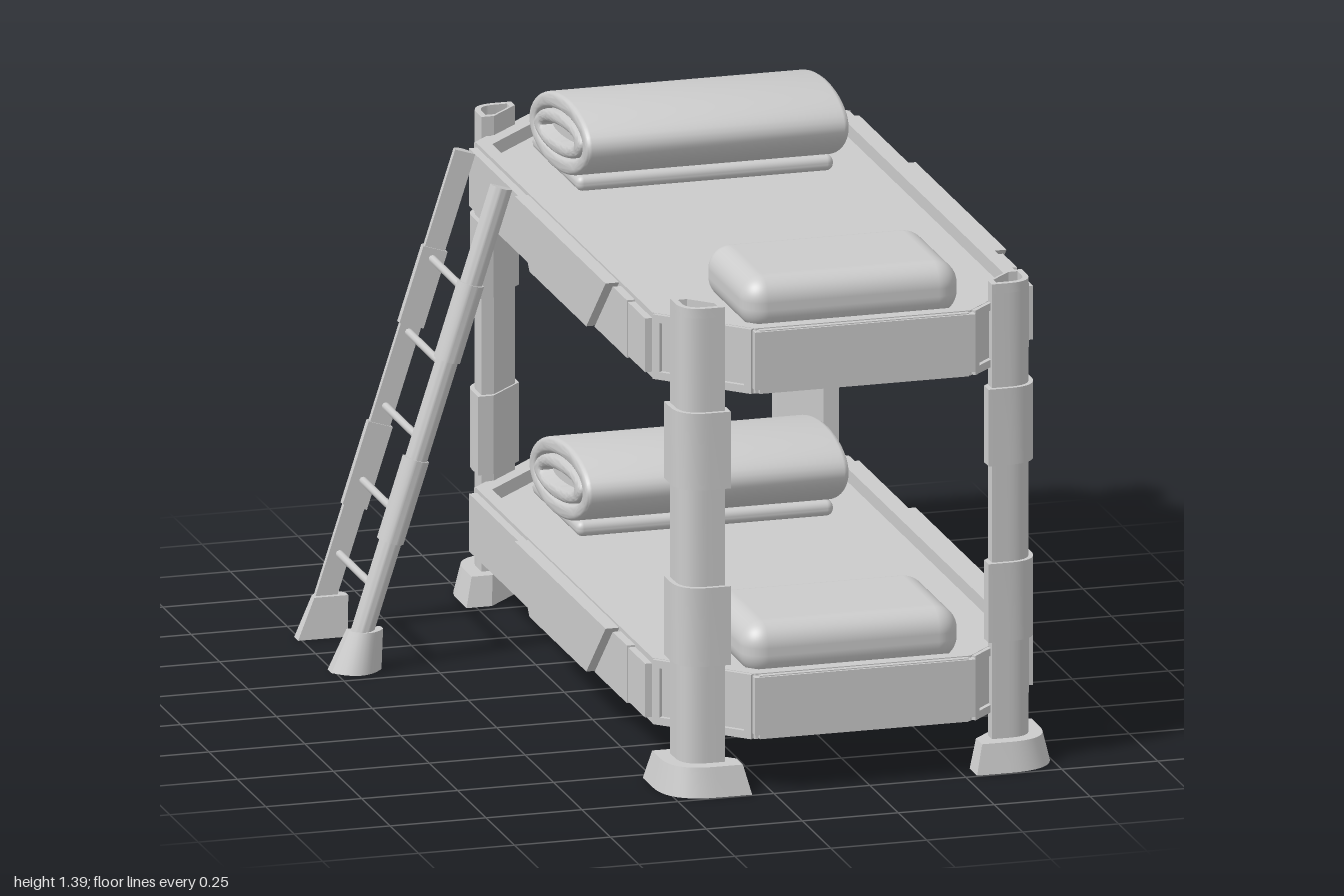
import * as THREE from 'three';
import { toCreasedNormals } from 'three/addons/utils/BufferGeometryUtils.js';
import { RoundedBoxGeometry } from 'three/addons/geometries/RoundedBoxGeometry.js';

const material = new THREE.MeshStandardMaterial({ color: 0xcccccc });

function add(parent, name, geometry, x = 0, y = 0, z = 0) {
  const mesh = new THREE.Mesh(geometry, material);
  mesh.name = name;
  mesh.position.set(x, y, z);
  parent.add(mesh);
  return mesh;
}

// Extrudes a plan shape (x, -z) upwards from y0 to y1
function slab(shape, y0, y1) {
  const g = new THREE.ExtrudeGeometry(shape, { depth: y1 - y0, bevelEnabled: false, curveSegments: 10 });
  g.rotateX(-Math.PI / 2).translate(0, y0, 0);
  return toCreasedNormals(g, 0.6);
}

// Extrudes a side shape (z, y) along x, centred on x = 0
function across(shape, width, bevel = 0) {
  const g = new THREE.ExtrudeGeometry(shape, {
    depth: width - 2 * bevel, bevelEnabled: bevel > 0, bevelThickness: bevel,
    bevelSize: bevel, bevelOffset: -bevel, bevelSegments: 4, curveSegments: 24,
  });
  g.rotateY(-Math.PI / 2).translate(width / 2 - bevel, 0, 0);
  return toCreasedNormals(g, 0.6);
}

const polygon = (pts) => new THREE.Shape(pts.map(([x, y]) => new THREE.Vector2(x, y)));

function octagon(w, l, c) {
  return polygon([[w, -l + c], [w, l - c], [w - c, l], [c - w, l], [-w, l - c], [-w, c - l], [c - w, -l], [w - c, -l]]);
}

// Post plan: rounded on the outer corner (+x, +z), cut off diagonally on the inner one
function postSection(s, k = 1) {
  const a = 0.055 * s, b = 0.022 * s * k;
  const shape = new THREE.Shape();
  shape.moveTo(a, a);
  shape.lineTo(b, a);
  shape.lineTo(-a, -b);
  shape.lineTo(-a, -a);
  shape.lineTo(-a * 0.2, -a);
  shape.quadraticCurveTo(a, -a, a, a * 0.2);
  shape.closePath();
  return shape;
}

// Narrows the top of a geometry towards its axis
function taper(geometry, height, scale, shift = 0) {
  const p = geometry.attributes.position;
  for (let i = 0; i < p.count; i++) {
    const t = p.getY(i) / height, s = 1 + (scale - 1) * t;
    p.setX(i, p.getX(i) * s + shift * t);
    p.setZ(i, p.getZ(i) * s);
  }
  return toCreasedNormals(geometry, 0.6);
}

function ellipse(a, b, tilt, Type = THREE.Shape) {
  const path = new Type();
  path.absellipse(0, 0, a, b, 0, Math.PI * 2, false, tilt);
  return path;
}

function makePost() {
  const post = new THREE.Group();
  post.name = 'post';
  add(post, 'postCore', slab(postSection(1), 0, 1.235));
  const rim = postSection(1);
  rim.holes.push(new THREE.Path(postSection(0.72).getPoints(10)));
  add(post, 'postRim', slab(rim, 1.235, 1.26));
  for (const [y0, y1] of [[0.33, 0.535], [0.79, 0.99]]) add(post, 'postSleeve', slab(postSection(1.22), y0, y1));
  add(post, 'postFoot', taper(slab(postSection(2), 0, 0.075), 0.075, 0.83));
  return post;
}

function makeBunk() {
  const bunk = new THREE.Group();
  bunk.name = 'bunk';
  // Octagonal frame around a lower mattress
  const frame = octagon(0.487, 0.98, 0.207);
  frame.holes.push(new THREE.Path(octagon(0.452, 0.945, 0.19).getPoints()));
  add(bunk, 'frame', slab(frame, 0.14, 0.31));
  add(bunk, 'mattress', slab(octagon(0.46, 0.95, 0.19), 0.143, 0.275));

  // Side rails: raised middle panel with slanted ends, lower panels beyond it
  const middle = polygon([[-0.19, 0.145], [0.31, 0.145], [0.48, 0.305], [-0.32, 0.305]]);
  const rear = polygon([[-0.77, 0.15], [-0.21, 0.15], [-0.335, 0.3], [-0.77, 0.3]]);
  const front = polygon([[0.335, 0.15], [0.62, 0.15], [0.62, 0.3], [0.495, 0.3]]);
  const corner = polygon([[0.62, 0.155], [0.77, 0.155], [0.77, 0.295], [0.62, 0.295]]);
  for (const s of [-1, 1]) {
    add(bunk, 'sideMiddlePanel', across(middle, 0.045), s * 0.5);
    add(bunk, 'sideRearPanel', across(rear, 0.035), s * 0.491);
    add(bunk, 'sideFrontPanel', across(front, 0.035), s * 0.491);
    add(bunk, 'sideCornerPanel', across(corner, 0.035), s * 0.488);
    add(bunk, 'endPanel', new THREE.BoxGeometry(0.575, 0.15, 0.03), 0, 0.23, s * 0.985);
    add(bunk, 'endInset', new THREE.BoxGeometry(0.545, 0.165, 0.03), 0, 0.225, s * 0.979);
  }

  // Raised borders on the four cut corners
  for (const sx of [-1, 1]) for (const sz of [-1, 1]) {
    const border = new THREE.Group();
    border.name = 'cornerBorder';
    border.position.set(sx * 0.383, 0.225, sz * 0.876);
    border.rotation.y = Math.atan2(sx, sz);
    for (const s of [-1, 1]) {
      add(border, 'cornerRail', new THREE.BoxGeometry(0.27, 0.02, 0.024), 0, s * 0.074, 0);
      add(border, 'cornerStile', new THREE.BoxGeometry(0.02, 0.168, 0.024), s * 0.13, 0, 0);
    }
    bunk.add(border);
  }

  // Pillow and rolled blanket
  add(bunk, 'pillow', new RoundedBoxGeometry(0.565, 0.14, 0.38, 6, 0.06), 0, 0.338, 0.712);
  const blanket = new THREE.Group();
  blanket.name = 'blanket';
  blanket.position.set(0, 0.387, -0.55);
  const tilt = 0.13;
  const layers = [[0.262, 0.1, 0.21, 0.058, 0.685], [0.207, 0.056, 0.15, 0.02, 0.694]];
  for (const [a, b, ha, hb, width] of layers) {
    const ring = ellipse(a, b, tilt);
    ring.holes.push(ellipse(ha, hb, tilt, THREE.Path));
    add(blanket, 'blanketLayer', across(ring, width, 0.014));
  }
  add(blanket, 'blanketCore', across(ellipse(0.152, 0.022, tilt), 0.62));
  add(blanket, 'blanketTail', new RoundedBoxGeometry(0.67, 0.04, 0.41, 3, 0.018), 0, -0.093, -0.055);
  bunk.add(blanket);
  return bunk;
}

// Ladder rail plan: flat inside, rounded on the outer (+z) side
function railSection(w, d) {
  const shape = new THREE.Shape();
  shape.moveTo(w / 2, d * 0.45);
  shape.lineTo(-w / 2, d * 0.45);
  shape.lineTo(-w / 2, 0);
  shape.quadraticCurveTo(0, -d * 1.1, w / 2, 0);
  shape.closePath();
  return shape;
}

function makeLadder() {
  const ladder = new THREE.Group();
  ladder.name = 'ladder';
  const lean = Math.atan2(0.363, 1.13), cos = Math.cos(lean);
  const lineX = (y) => -0.68 + 0.321 * (y - 0.1);
  const along = (y) => (y - 0.05) / cos;
  for (const s of [-1, 1]) {
    const z = -0.49 + s * 0.17;
    const tilted = new THREE.Group();
    tilted.name = 'ladderRail';
    tilted.position.set(lineX(0.05), 0.05, z);
    tilted.rotation.z = -lean;
    const parts = [['railCore', 0.055, 0.034, 0.05, 1.23], ['railSleeve', 0.066, 0.044, 0.33, 0.54], ['railSleeve', 0.066, 0.044, 0.79, 0.985]];
    for (const [name, w, d, y0, y1] of parts) {
      add(tilted, name, slab(railSection(w, d), along(y0), along(y1))).rotation.y = s > 0 ? 0 : Math.PI;
    }
    ladder.add(tilted);
    const foot = taper(slab(railSection(0.13, 0.078), 0, 0.105), 0.105, 0.68, s * 0.025);
    add(ladder, 'ladderFoot', foot, -0.695, 0, z - s * 0.005).rotation.y = s > 0 ? 0 : Math.PI;
  }
  for (let i = 0; i < 5; i++) {
    const y = 0.21 + i * 0.1875;
    add(ladder, 'rung', new THREE.CylinderGeometry(0.01, 0.01, 0.34, 10).rotateX(Math.PI / 2), lineX(y), y, -0.49);
  }
  return ladder;
}

export function createModel() {
  const model = new THREE.Group();
  model.name = 'bunkBed';
  const bed = new THREE.Group();
  bed.name = 'bed';
  bed.position.x = 0.238;
  model.add(bed);
  for (const y of [0, 0.9]) {
    const bunk = makeBunk();
    bunk.position.y = y;
    bed.add(bunk);
  }
  for (const [sx, sz, turn] of [[1, 1, 0], [1, -1, 1], [-1, -1, 2], [-1, 1, 3]]) {
    const post = makePost();
    post.position.set(sx * 0.403, 0, sz * 0.885);
    post.rotation.y = turn * Math.PI / 2;
    bed.add(post);
  }
  model.add(makeLadder());
  return model;
}
